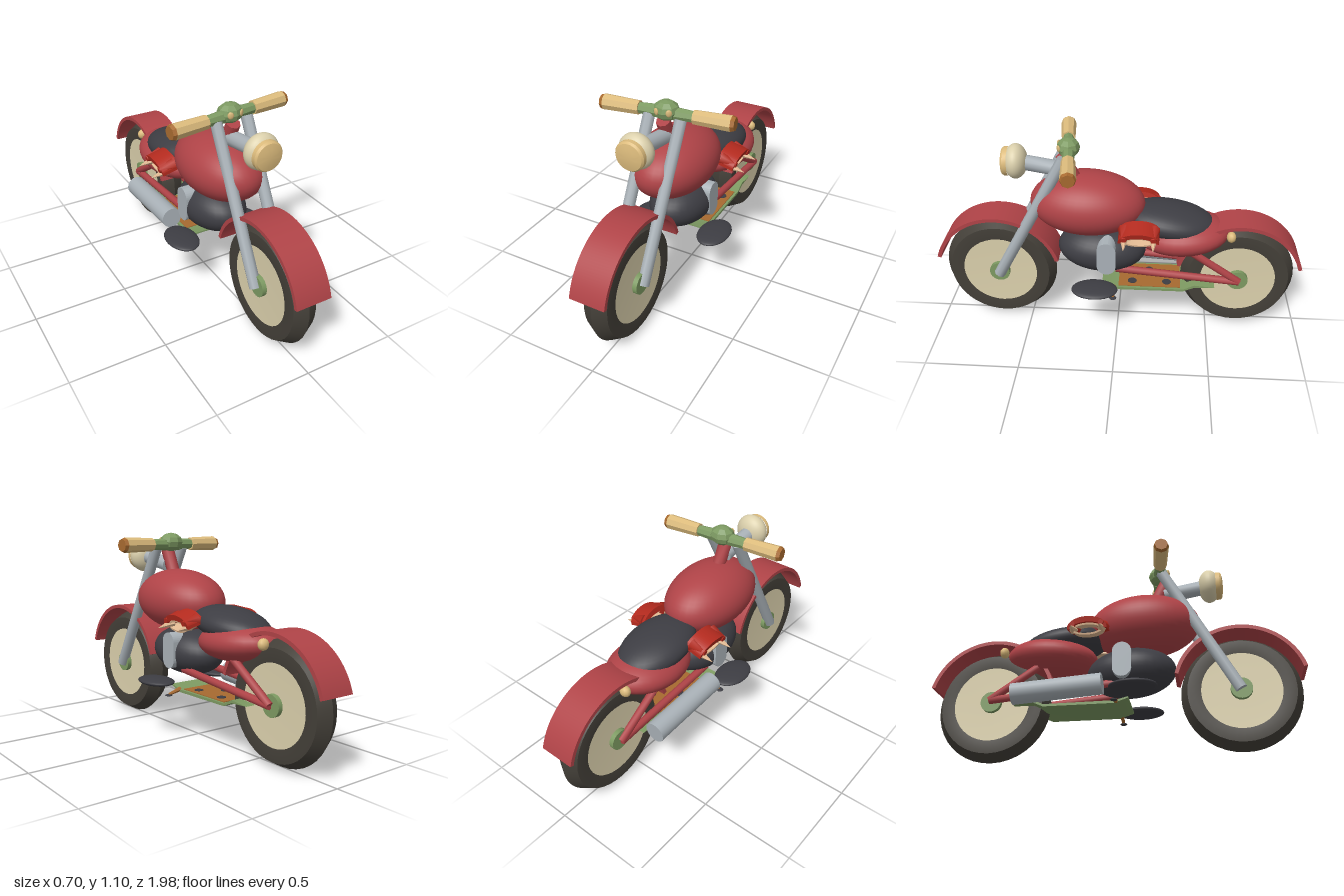
import * as THREE from 'three';
import { toCreasedNormals } from 'three/addons/utils/BufferGeometryUtils.js';

const mat = (name, color, side = THREE.FrontSide) => {
  const m = new THREE.MeshStandardMaterial({ color, side });
  m.name = name;
  return m;
};

export function createModel() {
  const root = new THREE.Group();
  root.name = 'motorcycle';
  const M = {
    red: mat('paint red', 0xaf4347),
    cloth: mat('bright red cloth', 0xb32a1e),
    dark: mat('charcoal', 0x3d3d43),
    tyre: mat('tyre rubber', 0x433f38),
    cream: mat('cream', 0xdbd0ac),
    tan: mat('tan', 0xdcbb7c),
    green: mat('green metal', 0x7d9a62),
    steel: mat('steel', 0xa9b1b7),
    brown: mat('rust brown', 0xa76a30),
    skin: mat('pale tan', 0xe0b891, THREE.DoubleSide),
  };
  const V = (p) => new THREE.Vector3(...p);
  const add = (name, geo, m, pos = [0, 0, 0], rot = [0, 0, 0], parent = root) => {
    const mesh = new THREE.Mesh(geo, m);
    mesh.name = name;
    mesh.position.set(...pos);
    mesh.rotation.set(...rot);
    parent.add(mesh);
    return mesh;
  };
  const crease = (g, a = 0.6) => toCreasedNormals(g, a);

  // Ellipsoid with radii r
  const blob = (name, m, pos, r, tilt = 0, seg = 32) => {
    const g = new THREE.SphereGeometry(1, seg, Math.ceil(seg * 0.65));
    g.scale(...r);
    return add(name, g, m, pos, [tilt, 0, 0]);
  };

  // Straight cylinder between two points
  const rod = (name, m, a, b, r, sides = 10, r2 = r) => {
    const d = V(b).sub(V(a));
    const g = crease(new THREE.CylinderGeometry(r2, r, d.length(), sides), 0.9);
    const mesh = add(name, g, m, V(a).add(V(b)).multiplyScalar(0.5).toArray());
    mesh.quaternion.setFromUnitVectors(new THREE.Vector3(0, 1, 0), d.normalize());
    return mesh;
  };

  // Side profile drawn in (z, y), extruded across x and centred on it
  const sideExtrude = (shape, width) => {
    const g = new THREE.ExtrudeGeometry(shape, { depth: width, bevelEnabled: false, curveSegments: 32 });
    g.translate(0, 0, -width / 2);
    g.rotateY(-Math.PI / 2);
    return crease(g);
  };

  // Wheels, hubs and mudguards
  const lathe = (pts) => {
    const g = new THREE.LatheGeometry(pts.map((p) => new THREE.Vector2(...p)), 40);
    g.rotateZ(-Math.PI / 2);
    return crease(g, 0.4);
  };
  const tyreGeo = lathe([[0.205, -0.062], [0.24, -0.066], [0.275, -0.064], [0.31, 0],
    [0.275, 0.064], [0.24, 0.066], [0.205, 0.062]]);
  const discGeo = lathe([[0, -0.056], [0.207, -0.062], [0.207, 0.062], [0, 0.056]]);
  const guard = new THREE.Shape();
  guard.absarc(0, 0, 0.347, 0.27, Math.PI - 0.27, false);
  guard.absarc(0, 0, 0.327, Math.PI - 0.27, 0.27, true);
  const guardGeo = sideExtrude(guard, 0.19);
  for (const [name, z] of [['front', 0.658], ['rear', -0.655]]) {
    add(name + 'Tyre', tyreGeo, M.tyre, [0, 0.312, z]);
    add(name + 'WheelDisc', discGeo, M.cream, [0, 0.312, z]);
    rod(name + 'Hub', M.green, [-0.082, 0.315, z], [0.082, 0.315, z], 0.056, 20);
    add(name + 'Mudguard', guardGeo, M.red, [0, 0.319, z]);
  }

  // Body
  blob('fuelTank', M.red, [0, 0.738, 0.163], [0.203, 0.168, 0.305], -0.03, 40);
  blob('rearBody', M.red, [0, 0.57, -0.345], [0.187, 0.102, 0.25], 0.07);
  blob('seat', M.dark, [0, 0.65, -0.275], [0.163, 0.086, 0.245], -0.13);
  blob('engine', M.dark, [0, 0.465, 0.09], [0.162, 0.13, 0.24], -0.05);

  // Rounded engine side covers
  const cover = new THREE.Shape();
  cover.absarc(0, 0.047, 0.05, 0, Math.PI, false);
  cover.absarc(0, -0.047, 0.05, Math.PI, Math.PI * 2, false);
  add('engineCover', sideExtrude(cover, 0.325), M.steel, [0, 0.481, 0.057]);

  // Neck, headlight and its bracket
  rod('steeringNeck', M.red, [0, 0.84, 0.21], [0, 1.01, 0.29], 0.036, 8);
  rod('headlightBracket', M.steel, [0, 0.925, 0.28], [0, 0.962, 0.5], 0.04, 12);
  blob('headlight', M.cream, [0, 0.966, 0.53], [0.09, 0.091, 0.06]);
  const lens = new THREE.LatheGeometry(
    [[0.076, 0], [0.076, 0.022], [0.068, 0.032], [0.04, 0.038], [0, 0.04]].map((p) => new THREE.Vector2(...p)), 32);
  lens.rotateX(Math.PI / 2);
  add('headlightLens', crease(lens), M.tan, [0, 0.965, 0.566]);

  // Handlebar, turned slightly
  const bar = new THREE.Group();
  bar.name = 'handlebar';
  bar.position.set(0, 1.04, 0.255);
  bar.rotation.y = 0.117;
  root.add(bar);
  const head = new THREE.SphereGeometry(1, 8, 6);
  head.scale(0.068, 0.052, 0.06);
  add('handlebarHead', crease(head, 0.3), M.green, [0, 0.012, 0], [0, 0, 0], bar);
  const across = (name, m, s, x0, x1, r0, r1) => {
    const g = crease(new THREE.CylinderGeometry(r1, r0, x1 - x0, 8), 0.5);
    add(name, g, m, [s * (x0 + x1) / 2, 0, 0], [0, 0, -s * Math.PI / 2], bar);
  };
  for (const s of [1, -1]) {
    across('barArm', M.green, s, 0.04, 0.145, 0.034, 0.028);
    across('grip', M.tan, s, 0.14, 0.328, 0.036, 0.041);
    across('gripEnd', M.brown, s, 0.328, 0.346, 0.041, 0.034);
    // Worn patches on the head
    const patch = new THREE.SphereGeometry(1, 8, 6);
    patch.scale(0.016, 0.019, 0.006);
    add('wornPatch', patch, M.tan, [s * 0.033, 0.02, 0.049], [0, s * 0.5, 0], bar);
  }

  // Paired parts on either side
  for (const s of [1, -1]) {
    rod('frontFork', M.steel, [s * 0.086, 0.308, 0.657], [s * 0.086, 1.025, 0.272], 0.031, 8);
    rod('lowerStrut', M.red, [s * 0.092, 0.318, -0.66], [s * 0.092, 0.378, 0.01], 0.021, 8);
    rod('upperStrut', M.red, [s * 0.092, 0.318, -0.66], [s * 0.092, 0.495, -0.4], 0.021, 8);
    blob('tailLight', M.tan, [s * 0.08, 0.597, -0.598], [0.03, 0.03, 0.025], 0, 12);
    blob('footboard', M.dark, [s * 0.2, 0.31, 0.118], [0.086, 0.022, 0.125], 0, 24);

    // Foot peg and its tip
    rod('footPeg', M.brown, [s * 0.11, 0.27, 0.02], [s * 0.185, 0.25, 0.02], 0.013, 6, 0.007);
    blob('footPegTip', M.dark, [s * 0.187, 0.246, 0.02], [0.02, 0.005, 0.02], 0, 8);

    // Cloth flap: an arched shell beside the seat with pale points
    const arch = new THREE.Shape();
    arch.absellipse(0, 0, 0.105, 0.06, -0.1, Math.PI + 0.1, false);
    arch.absellipse(0, 0, 0.08, 0.03, Math.PI + 0.1, -0.1, true);
    add('clothFlap', sideExtrude(arch, 0.1), M.cloth, [s * 0.185, 0.652, -0.115], [0, 0, -s * 0.25]);
    const lining = new THREE.Shape();
    lining.absellipse(0, 0, 0.082, 0.032, 0, Math.PI * 2, false);
    const hole = new THREE.Path();
    hole.absellipse(0, 0, 0.07, 0.022, 0, Math.PI * 2, true);
    lining.holes.push(hole);
    add('flapLining', sideExtrude(lining, 0.07), M.skin, [s * 0.19, 0.645, -0.115], [0, 0, -s * 0.25]);
    for (const z of [-0.04, -0.19]) {
      rod('flapFold', M.cloth, [s * 0.16, 0.675, z], [s * 0.245, 0.66, z], 0.035, 7, 0.015);
      rod('flapPoint', M.skin, [s * 0.2, 0.645, z], [s * 0.288, 0.627, z], 0.024, 6, 0.001);
    }
  }

  // Exhaust pipe on one side
  rod('exhaust', M.steel, [-0.176, 0.342, -0.04], [-0.176, 0.312, -0.51], 0.056, 20);

  // Underside tray with a rusty top
  const tray = new THREE.Shape();
  [[0.085, 0.28], [0.01, 0.255], [-0.36, 0.257], [-0.42, 0.285], [-0.53, 0.29],
    [-0.42, 0.3], [-0.36, 0.27], [0.01, 0.27], [0.085, 0.288]].forEach((p, i) => (i ? tray.lineTo(...p) : tray.moveTo(...p)));
  add('underTray', sideExtrude(tray, 0.24), M.green);
  add('trayRust', new THREE.BoxGeometry(0.21, 0.005, 0.34), M.brown, [0, 0.2715, -0.175]);
  [[0.06, -0.08], [-0.05, -0.17], [0.06, -0.27]].forEach(([x, z]) =>
    add('traySpot', new THREE.CylinderGeometry(0.025, 0.025, 0.005, 10), M.dark, [x, 0.274, z]));
  return root;
}
